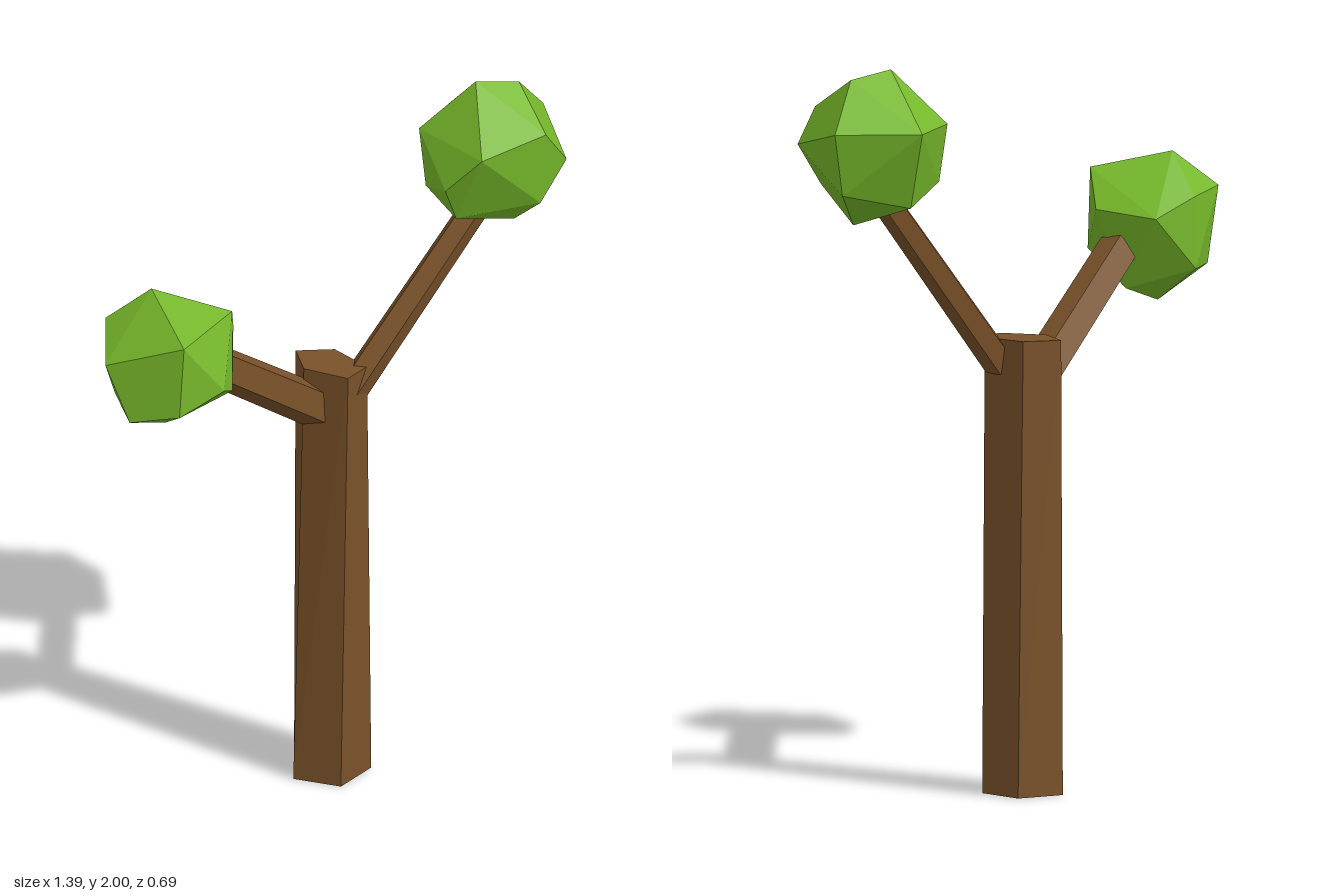
import * as THREE from 'three';
import { ConvexGeometry } from 'three/addons/geometries/ConvexGeometry.js';

const bark = new THREE.MeshStandardMaterial({ color: 0x7a5229, flatShading: true });
const leaf = new THREE.MeshStandardMaterial({ color: 0x76b82a, flatShading: true });

const v = (p) => new THREE.Vector3(...p);

function add(group, name, geometry, material) {
  const mesh = new THREE.Mesh(geometry, material);
  mesh.name = name;
  group.add(mesh);
}

// Five-sided limb running from one point to another
function limb(from, to, r0, r1) {
  const a = v(from), b = v(to), dir = b.clone().sub(a);
  const g = new THREE.CylinderGeometry(r1, r0, dir.length(), 5);
  g.rotateY(Math.PI);
  g.applyQuaternion(new THREE.Quaternion().setFromUnitVectors(new THREE.Vector3(0, 1, 0), dir.normalize()));
  g.translate(...a.add(b).multiplyScalar(0.5).toArray());
  return g;
}

// Faceted leaf clump wrapped around its corner points
const clump = (points) => new ConvexGeometry(points.map(v));

export function createModel() {
  const tree = new THREE.Group();
  tree.name = 'tree';

  // Pentagonal trunk, narrowing sideways only, with a green underside
  const trunk = new THREE.CylinderGeometry(0.115, 0.115, 1.235, 5);
  trunk.rotateY(Math.PI);
  const pos = trunk.attributes.position;
  for (let i = 0; i < pos.count; i++) {
    if (pos.getY(i) > 0) {
      pos.setX(i, pos.getX(i) * 0.63);
      pos.setZ(i, pos.getZ(i) + 0.005);
    }
  }
  trunk.translate(0.088, 0.6175, -0.095);
  add(tree, 'trunk', trunk, [bark, bark, leaf]);

  // Branches
  add(tree, 'leftBranch', limb([0.11, 1.16, -0.035], [0.5, 1.68, 0.14], 0.045, 0.04), bark);
  add(tree, 'rightBranch', limb([0.07, 1.1, -0.11], [-0.37, 1.415, -0.15], 0.062, 0.058), bark);

  // Leaf clumps
  add(tree, 'leftLeaves', clump([
    [0.46, 2.0, 0.12], [0.56, 1.98, 0.19], [0.695, 1.85, 0.17], [0.66, 1.68, 0.165],
    [0.525, 1.58, 0.2], [0.32, 1.655, 0.16], [0.285, 1.75, 0.15], [0.315, 1.86, 0.25],
    [0.495, 1.89, 0.33], [0.56, 1.795, 0.35], [0.49, 1.68, 0.315], [0.58, 1.85, -0.035],
    [0.38, 1.85, -0.01], [0.54, 1.64, 0.02], [0.37, 1.69, 0.02],
  ]), leaf);
  add(tree, 'rightLeaves', clump([
    [-0.51, 1.67, -0.24], [-0.415, 1.625, -0.04], [-0.33, 1.525, -0.1], [-0.33, 1.51, -0.28],
    [-0.37, 1.31, -0.17], [-0.49, 1.265, -0.205], [-0.7, 1.365, -0.17], [-0.695, 1.51, -0.255],
    [-0.63, 1.6, -0.04], [-0.53, 1.45, 0.02], [-0.65, 1.4, -0.04], [-0.44, 1.4, -0.02],
    [-0.575, 1.575, -0.345], [-0.44, 1.365, -0.345], [-0.44, 1.56, -0.34], [-0.58, 1.36, -0.31],
  ]), leaf);

  return tree;
}
